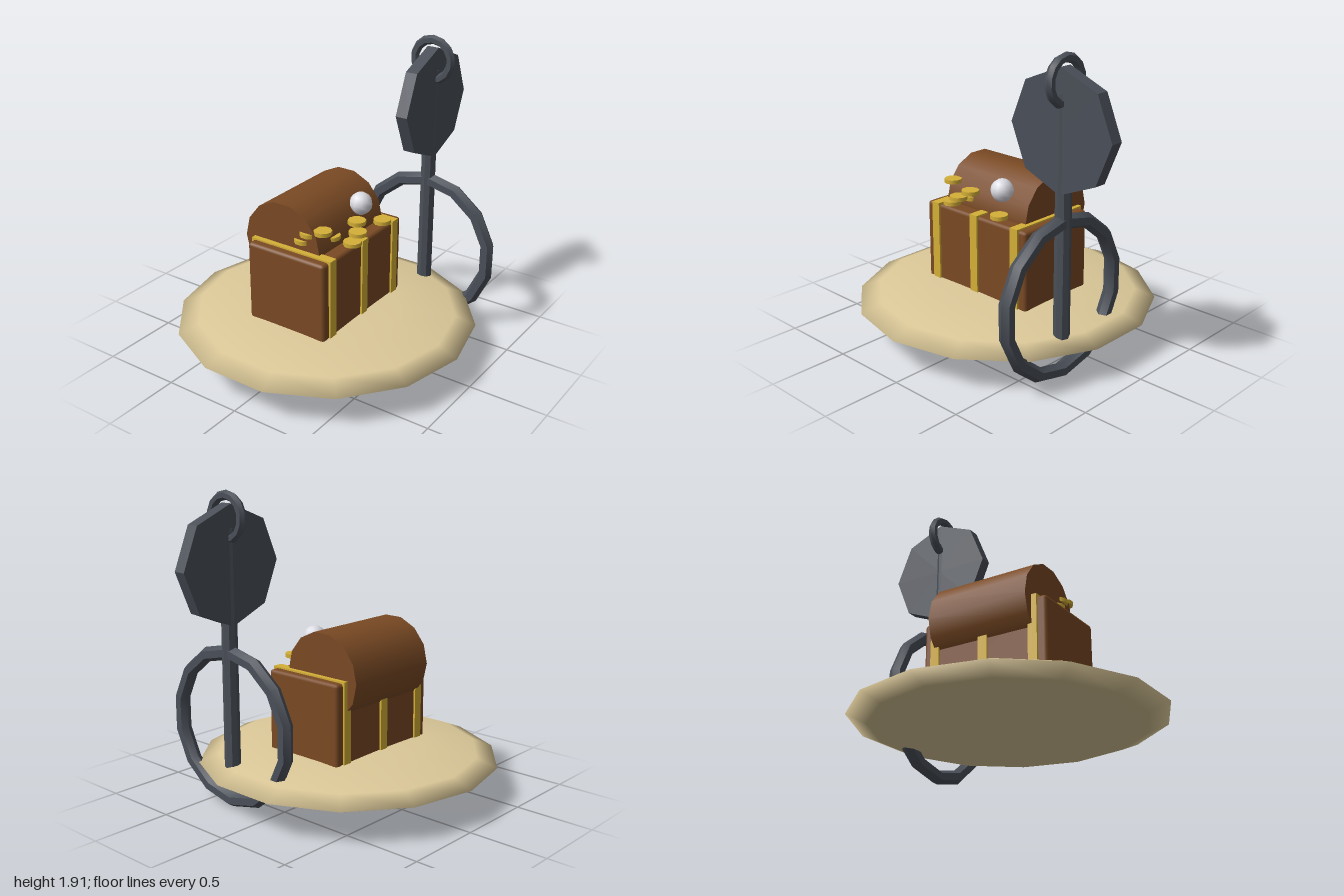
import * as THREE from 'three';
import { RoundedBoxGeometry } from 'three/addons/geometries/RoundedBoxGeometry.js';
import { toCreasedNormals } from 'three/addons/utils/BufferGeometryUtils.js';

const material = (name, color) => {
  const m = new THREE.MeshStandardMaterial({ color });
  m.name = name;
  return m;
};

export function createModel() {
  const sand = material('sand', 0xdcc999);
  const wood = material('wood', 0x7a4a24);
  const gold = material('gold', 0xd4af37);
  const iron = material('iron', 0x4a4f58);
  const pearl = material('pearl', 0xdcdce4);

  const model = new THREE.Group();
  const add = (parent, name, geometry, mat, x, y, z) => {
    const mesh = new THREE.Mesh(geometry, mat);
    mesh.name = name;
    mesh.position.set(x, y, z);
    parent.add(mesh);
    return mesh;
  };
  const group = (name) => {
    const g = new THREE.Group();
    g.name = name;
    model.add(g);
    return g;
  };

  // Flattened sand mound
  const mound = new THREE.SphereGeometry(0.945, 14, 6).rotateY(Math.PI / 2);
  add(model, 'sandMound', mound, sand, -0.08, 0.219, 0).scale.y = 0.114;

  // Chest with three metal bands and a round lid tipped back
  const chest = group('chest');
  add(chest, 'chestBody', new RoundedBoxGeometry(0.84, 0.52, 0.555, 1, 0.02), wood, -0.08, 0.55, 0);
  for (const x of [-0.415, -0.08, 0.257]) {
    add(chest, 'chestBand', new THREE.BoxGeometry(0.06, 0.53, 0.58), gold, x, 0.555, 0);
  }
  const lid = new THREE.CylinderGeometry(0.273, 0.273, 0.67, 14).rotateZ(Math.PI / 2);
  add(chest, 'chestLid', lid, wood, -0.076, 0.81, -0.084);

  // Spilling treasure
  const treasure = group('treasure');
  const coin = new THREE.CylinderGeometry(0.055, 0.055, 0.025, 10);
  const coins = [
    [-0.365, 0.952, 0.18], [-0.13, 0.95, 0.26], [-0.187, 0.912, 0.305], [-0.243, 0.87, 0.305],
    [0.127, 0.862, 0.275], [-0.38, 0.925, 0.09], [-0.382, 0.872, 0.05], [-0.235, 0.865, 0.15],
  ];
  for (const [x, y, z] of coins) add(treasure, 'coin', coin, gold, x, y, z);
  add(treasure, 'pearl', new THREE.SphereGeometry(0.072, 10, 8), pearl, 0.05, 0.98, 0.168);

  // Anchor: shank, eight-sided plate, large ring through the sand and small top ring
  const anchor = group('anchor');
  const faceted = (geometry) => toCreasedNormals(geometry, 0.6);
  const ring = (radius, tube) =>
    faceted(new THREE.TorusGeometry(radius, tube, 6, 14).rotateZ(Math.PI / 2).rotateY(Math.PI / 2));
  const plate = new THREE.CylinderGeometry(0.356, 0.356, 0.078, 8).rotateX(Math.PI / 2);
  add(anchor, 'shank', faceted(new THREE.CylinderGeometry(0.046, 0.049, 1.5, 8)), iron, 0.641, 0.95, 0.294);
  add(anchor, 'plate', faceted(plate), iron, 0.641, 1.487, 0.294);
  add(anchor, 'largeRing', ring(0.461, 0.046), iron, 0.641, 0.51, 0.294);
  add(anchor, 'topRing', ring(0.126, 0.029), iron, 0.641, 1.763, 0.294);

  return model;
}
